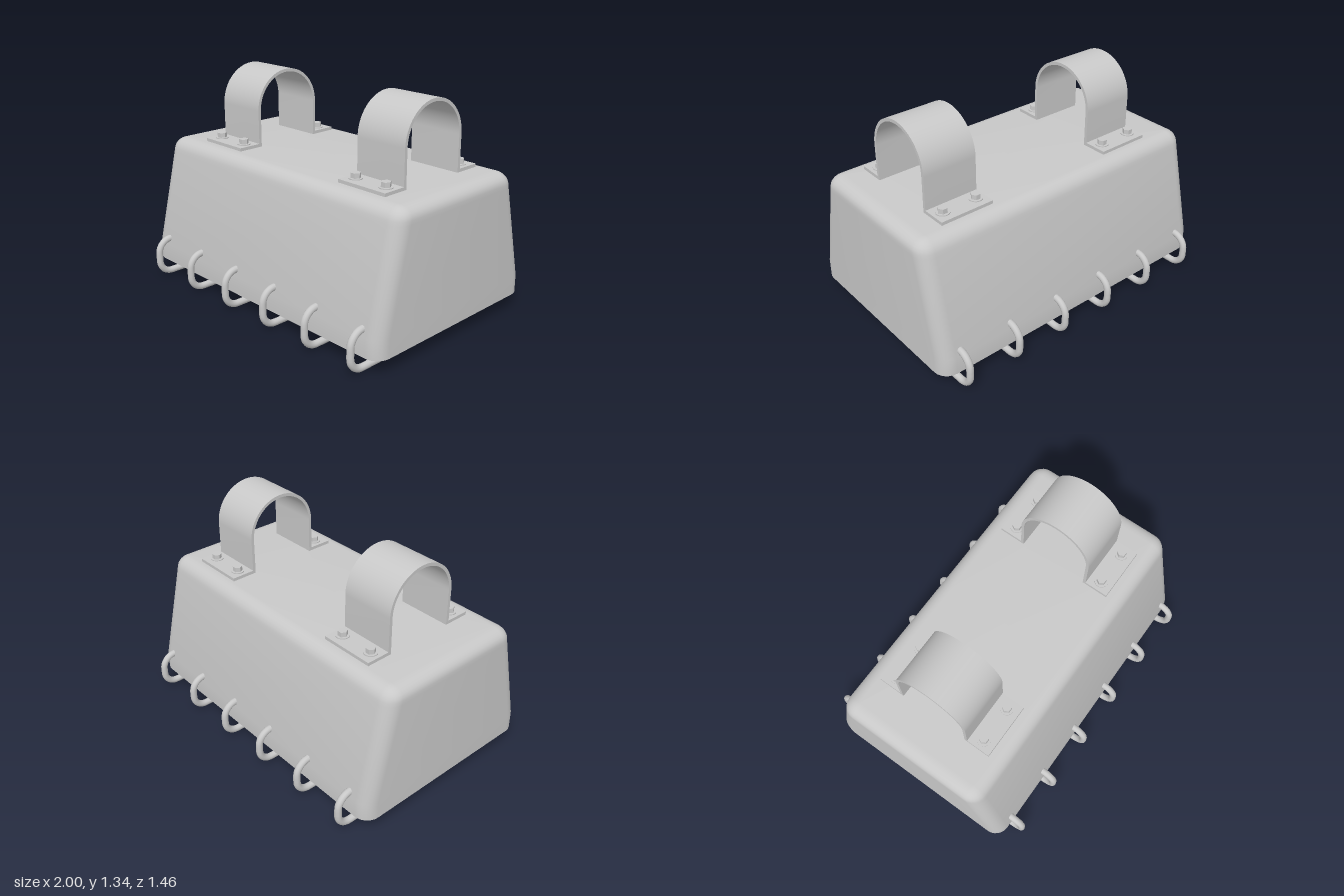
import * as THREE from 'three';
import { toCreasedNormals } from 'three/addons/utils/BufferGeometryUtils.js';

const steel = new THREE.MeshStandardMaterial({ color: 0xc8c8c8 });
steel.name = 'grey steel';

function part(name, geometry, parent, x = 0, y = 0, z = 0) {
  const mesh = new THREE.Mesh(geometry, steel);
  mesh.name = name;
  mesh.position.set(x, y, z);
  parent.add(mesh);
  return mesh;
}

// Rounded rectangle loop at one height: half sizes hx, hz and corner radius r
function loop(y, hx, hz, r) {
  const points = [], steps = 6;
  for (let q = 0; q < 4; q++) {
    const sx = q === 0 || q === 3 ? 1 : -1, sz = q < 2 ? 1 : -1;
    for (let i = 0; i <= steps; i++) {
      const a = (q + i / steps) * Math.PI / 2;
      points.push([sx * (hx - r) + r * Math.cos(a), y, sz * (hz - r) + r * Math.sin(a)]);
    }
  }
  return points;
}

// Skin stretched over successive loops
function loft(loops) {
  const n = loops[0].length, index = [];
  for (let k = 0; k < loops.length - 1; k++) {
    for (let i = 0; i < n; i++) {
      const a = k * n + i, b = k * n + (i + 1) % n;
      index.push(a, a + n, b, b, a + n, b + n);
    }
  }
  const g = new THREE.BufferGeometry();
  g.setAttribute('position', new THREE.Float32BufferAttribute(loops.flat(2), 3));
  g.setIndex(index);
  return toCreasedNormals(g, 0.5);
}

// Weight block: grooved underside, short upright skirt, sloping front and back, rounded top
function bodyGeometry() {
  const loops = [
    loop(0.095, 0, 0, 0),
    loop(0.095, 0.85, 0.49, 0.03),
    loop(0.165, 0.85, 0.49, 0.03),
    loop(0.165, 0.92, 0.56, 0.06),
    loop(0.09, 0.92, 0.56, 0.06),
    loop(0.09, 1, 0.635, 0.09),
    loop(0.2, 1, 0.635, 0.09),
    loop(0.785, 1, 0.495, 0.09),
  ];
  const steps = 6;
  for (let i = 0; i <= steps; i++) {
    const t = i / steps;
    const a = THREE.MathUtils.lerp(0.24, Math.PI / 2, t), b = t * Math.PI / 2;
    loops.push(loop(0.786 + 0.09 * Math.sin(a), 0.91 + 0.09 * Math.cos(b),
      0.403 + 0.09 * Math.cos(a), 0.005 + 0.085 * Math.cos(b)));
  }
  loops.push(loop(0.876, 0, 0, 0));
  return loft(loops);
}

// Bent rod passing under the block, with both ends hooked into its sides
function rodGeometry() {
  const path = new THREE.CurvePath();
  const v = (z, y) => new THREE.Vector3(0, y, z);
  const zo = 0.708, lo = 0.022, front = 0.244, back = 0.233, r = 0.085;
  const line = (a, b) => path.add(new THREE.LineCurve3(a, b));
  const bend = (cz, cy, from) => {
    const pts = [];
    for (let i = 0; i <= 8; i++) {
      const a = from - i / 8 * Math.PI / 2;
      pts.push(v(cz + r * Math.cos(a), cy + r * Math.sin(a)));
    }
    path.add(new THREE.CatmullRomCurve3(pts));
  };
  line(v(0.58, front), v(zo - r, front));
  bend(zo - r, front - r, Math.PI / 2);
  line(v(zo, front - r), v(zo, lo + r));
  bend(zo - r, lo + r, 0);
  line(v(zo - r, lo), v(r - zo, lo));
  bend(r - zo, lo + r, -Math.PI / 2);
  line(v(-zo, lo + r), v(-zo, back - r));
  bend(r - zo, back - r, -Math.PI);
  line(v(r - zo, back), v(-0.58, back));
  return new THREE.TubeGeometry(path, 180, 0.021, 12, false);
}

// Arched strap with two flat feet, drawn side-on and extruded across its width
function strapGeometry(width) {
  const base = 0.874, foot = 0.896, spring = 1.1, outer = 0.237, inner = 0.218, reach = 0.385;
  const s = new THREE.Shape();
  s.moveTo(reach, base);
  s.lineTo(reach, foot);
  s.lineTo(outer, foot);
  s.lineTo(outer, spring);
  s.absarc(0, spring, outer, 0, Math.PI, false);
  s.lineTo(-outer, foot);
  s.lineTo(-reach, foot);
  s.lineTo(-reach, base);
  s.lineTo(-inner, base);
  s.lineTo(-inner, spring);
  s.absarc(0, spring, inner, Math.PI, 0, true);
  s.lineTo(inner, base);
  const g = new THREE.ExtrudeGeometry(s, { depth: width, bevelEnabled: false, curveSegments: 32 });
  g.translate(0, 0, -width / 2);
  g.rotateY(Math.PI / 2);
  return toCreasedNormals(g, 0.5);
}

export function createModel() {
  const model = new THREE.Group();
  model.name = 'hangingWeight';

  part('body', bodyGeometry(), model);

  // Six evenly spaced rods
  const rod = rodGeometry();
  for (let i = 0; i < 6; i++) part('rod', rod, model, -0.857 + i * 0.347);

  // Two straps, each held by four hex bolts on washers
  const strap = strapGeometry(0.342);
  const bolt = new THREE.CylinderGeometry(0.029, 0.029, 0.034, 6).toNonIndexed();
  bolt.computeVertexNormals();
  bolt.rotateY(Math.PI / 6);
  const washer = new THREE.CylinderGeometry(0.04, 0.04, 0.008, 24);
  for (const x of [-0.562, 0.625]) {
    const group = new THREE.Group();
    group.name = 'strapAssembly';
    group.position.set(x, 0, -0.005);
    part('strap', strap, group);
    for (const bx of [-0.11, 0.11]) {
      for (const bz of [-0.31, 0.31]) {
        part('washer', washer, group, bx, 0.898, bz);
        part('bolt', bolt, group, bx, 0.914, bz);
      }
    }
    model.add(group);
  }
  return model;
}
